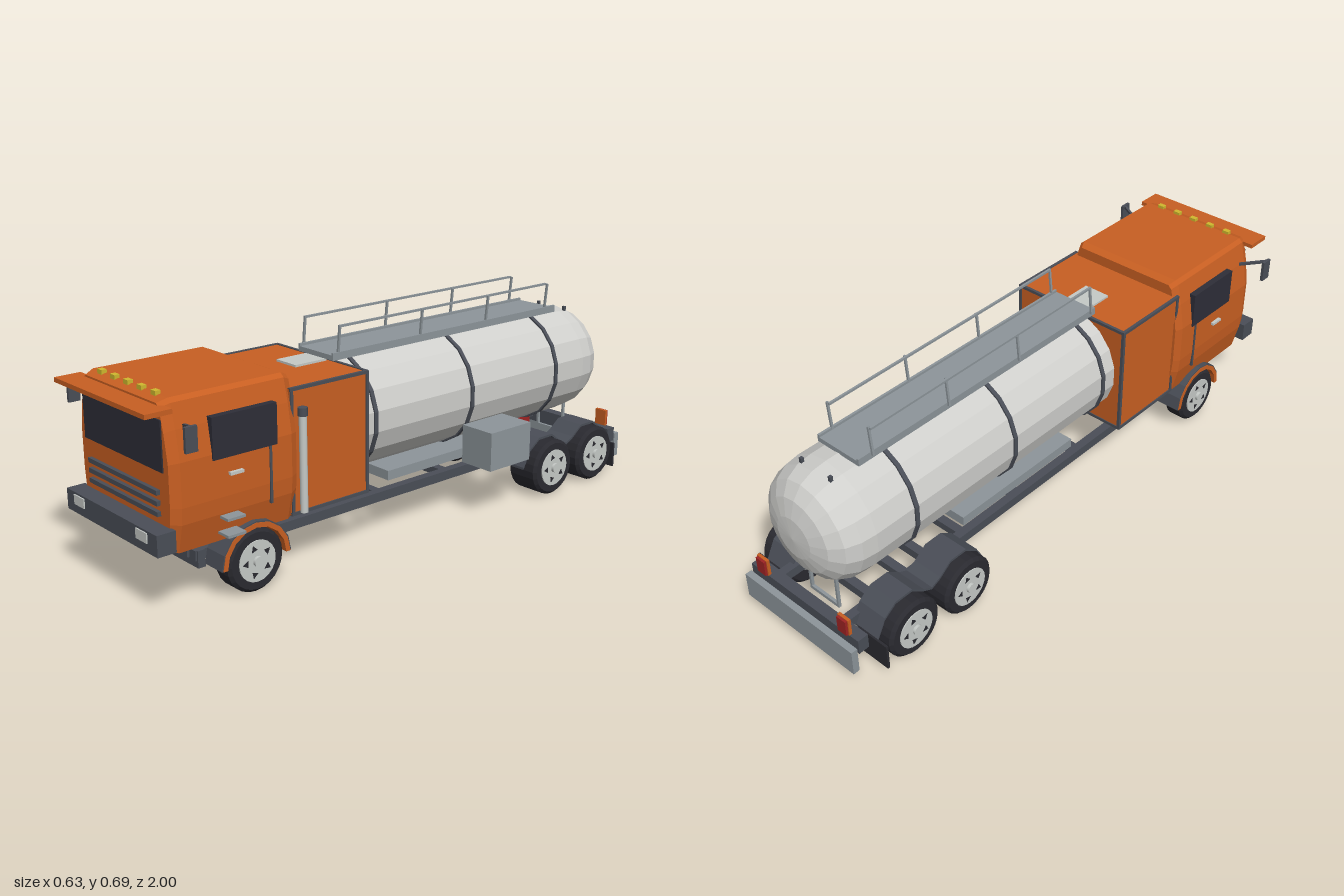
import * as THREE from 'three';

const mat = (name, color, opts = {}) => {
  const m = new THREE.MeshStandardMaterial({ color, ...opts });
  m.name = name;
  return m;
};

export function createModel() {
  const orange = mat('orange paint', 0xc85f22);
  const steel = mat('dark steel', 0x4a4e57);
  const rubber = mat('tyre rubber', 0x2a2a30);
  const glass = mat('tinted glass', 0x2e2e38);
  const chrome = mat('light metal', 0xc6cac7);
  const silver = mat('tank silver', 0xcfcfcc);
  const grey = mat('grey panel', 0x8d959a);
  const red = mat('red', 0x9e2323);
  const yellow = mat('yellow lamp', 0xd0b82e);

  const truck = new THREE.Group();
  truck.name = 'tankerTruck';
  truck.position.x = -0.005;

  const add = (name, geo, material, parent = truck) => {
    const m = new THREE.Mesh(geo, material);
    m.name = name;
    parent.add(m);
    return m;
  };
  // box given by its extents along each axis
  const box = (name, material, x0, x1, y0, y1, z0, z1, parent) => {
    const m = add(name, new THREE.BoxGeometry(x1 - x0, y1 - y0, z1 - z0), material, parent);
    m.position.set((x0 + x1) / 2, (y0 + y1) / 2, (z0 + z1) / 2);
    return m;
  };
  // the same box on both sides
  const pair = (name, material, x0, x1, ...rest) => {
    box(name, material, x0, x1, ...rest);
    box(name, material, -x1, -x0, ...rest);
  };
  // square bar between two points
  const bar = (name, material, a, b, t) => {
    const p = new THREE.Vector3(...a), q = new THREE.Vector3(...b);
    const m = add(name, new THREE.BoxGeometry(t, t, p.distanceTo(q)), material);
    m.position.copy(p).add(q).multiplyScalar(0.5);
    m.lookAt(q);
    return m;
  };
  const faceted = (geo) => {
    const g = geo.index ? geo.toNonIndexed() : geo;
    g.computeVertexNormals();
    return g;
  };
  // convex loops, anticlockwise seen from the front, joined from back to front
  const loft = (rows) => {
    const n = rows[0].length, pos = rows.flat(2), idx = [];
    for (let i = 0; i < rows.length - 1; i++) {
      for (let j = 0; j < n; j++) {
        const a = i * n + j, b = i * n + (j + 1) % n;
        idx.push(a, b, b + n, a, b + n, a + n);
      }
    }
    const last = (rows.length - 1) * n;
    for (let j = 1; j < n - 1; j++) idx.push(0, j + 1, j, last, last + j, last + j + 1);
    const g = new THREE.BufferGeometry();
    g.setAttribute('position', new THREE.Float32BufferAttribute(pos, 3));
    g.setIndex(idx);
    return faceted(g);
  };

  // cab shell, bevelled toward both ends
  const half = [[0.215, 0.183], [0.236, 0.27], [0.24, 0.32], [0.24, 0.45], [0.225, 0.54], [0.208, 0.61], [0.195, 0.622]];
  const loop = [...half, ...half.map(([x, y]) => [-x, y]).reverse()];
  const section = (z, s) => loop.map(([x, y]) => [x * s, 0.4 + (y - 0.4) * s, z]);
  add('cab', loft([section(0.5, 0.95), section(0.525, 1), section(0.9, 1), section(0.93, 0.95)]), orange);
  box('sunVisor', orange, -0.24, 0.24, 0.591, 0.605, 0.915, 1);
  for (let i = -2; i <= 2; i++) box('roofLamp', yellow, i * 0.07 - 0.012, i * 0.07 + 0.012, 0.615, 0.632, 0.893, 0.91);
  box('windshield', glass, -0.205, 0.205, 0.42, 0.568, 0.926, 0.934);
  for (const y of [0.297, 0.328, 0.359]) box('grilleSlat', steel, -0.182, 0.182, y - 0.007, y + 0.007, 0.925, 0.942);
  box('frontBumper', steel, -0.243, 0.243, 0.202, 0.266, 0.925, 0.985);
  pair('headlight', chrome, 0.14, 0.196, 0.23, 0.26, 0.982, 0.989);

  // cab sides
  pair('sideWindow', glass, 0.215, 0.244, 0.433, 0.556, 0.578, 0.797);
  pair('doorSeam', steel, 0.226, 0.243, 0.26, 0.433, 0.597, 0.605);
  pair('doorHandle', chrome, 0.238, 0.251, 0.38, 0.389, 0.7, 0.745);
  for (const s of [-1, 1]) {
    bar('mirrorArm', steel, [s * 0.225, 0.545, 0.87], [s * 0.308, 0.568, 0.905], 0.009);
    box('mirror', steel, s * 0.308 - 0.005, s * 0.308 + 0.005, 0.5, 0.572, 0.888, 0.926);
  }
  for (const y of [0.212, 0.262]) box('cabStep', grey, 0.21, 0.272, y - 0.004, y + 0.004, 0.715, 0.775);

  // equipment compartment behind the cab, with edge trim
  box('compartment', orange, -0.219, 0.219, 0.19, 0.575, 0.22, 0.515);
  for (const x of [-0.218, 0.218]) {
    for (const y of [0.194, 0.573]) box('compartmentTrim', steel, x - 0.005, x + 0.005, y - 0.005, y + 0.005, 0.218, 0.515);
    for (const z of [0.222, 0.508]) box('compartmentTrim', steel, x - 0.005, x + 0.005, 0.19, 0.577, z - 0.005, z + 0.005);
  }
  for (const y of [0.194, 0.573]) box('compartmentTrim', steel, -0.218, 0.218, y - 0.005, y + 0.005, 0.217, 0.227);
  box('roofPlate', chrome, -0.048, 0.046, 0.57, 0.582, 0.235, 0.355);

  // exhaust stack
  const pipe = (name, material, r, y0, y1) =>
    add(name, new THREE.CylinderGeometry(r, r, y1 - y0, 12), material).position.set(0.238, (y0 + y1) / 2, 0.482);
  pipe('exhaustPipe', chrome, 0.012, 0.2, 0.5);
  pipe('exhaustCap', steel, 0.015, 0.495, 0.52);

  // tank with domed rear end
  const profile = [[0, -0.978], [0.07, -0.972], [0.125, -0.955], [0.165, -0.925], [0.186, -0.88], [0.192, -0.83], [0.192, 0.225], [0, 0.225]];
  const tankGeo = new THREE.LatheGeometry(profile.map(([r, z]) => new THREE.Vector2(r, z)), 18).rotateX(Math.PI / 2);
  add('tank', faceted(tankGeo), silver).position.y = 0.393;
  for (const z of [0.16, -0.263, -0.68]) {
    const band = new THREE.CylinderGeometry(0.198, 0.198, 0.014, 18).rotateX(Math.PI / 2);
    add('tankBand', faceted(band), steel).position.set(0, 0.393, z);
  }
  pair('tankLug', steel, 0.055, 0.065, 0.565, 0.586, -0.872, -0.862);

  // walkway and handrails
  box('walkway', grey, -0.085, 0.085, 0.582, 0.598, -0.785, 0.24);
  pair('walkwayLip', grey, 0.077, 0.085, 0.59, 0.606, -0.785, 0.24);
  for (const x of [-0.084, 0.084]) {
    bar('handrail', grey, [x, 0.688, -0.738], [x, 0.688, 0.22], 0.007);
    for (const z of [0.216, -0.13, -0.435, -0.735]) bar('railPost', grey, [x, 0.595, z], [x, 0.69, z], 0.007);
  }

  // chassis
  pair('frameRail', steel, 0.125, 0.155, 0.112, 0.143, -0.94, 0.81);
  for (const z of [0.4, 0.1, -0.2, -0.45, -0.69]) box('crossMember', steel, -0.13, 0.13, 0.115, 0.14, z - 0.015, z + 0.015);
  box('frontCrossMember', steel, -0.16, 0.16, 0.09, 0.143, 0.78, 0.805);
  box('towBracket', steel, -0.12, 0.12, 0.113, 0.14, 0.8, 0.815);
  box('underTray', grey, -0.143, 0.143, 0.168, 0.2, -0.45, 0.065);
  box('toolBox', grey, 0.19, 0.319, 0.175, 0.305, -0.41, -0.223);
  box('valveBox', red, -0.045, 0.045, 0.152, 0.215, -0.72, -0.63);
  pair('tankSupport', grey, 0.055, 0.063, 0.1, 0.24, -0.895, -0.885);
  box('tankSupportBar', grey, -0.063, 0.063, 0.1, 0.112, -0.895, -0.885);

  // rear end
  box('rearCrossMember', steel, -0.235, 0.235, 0.095, 0.145, -0.972, -0.935);
  box('underrunBoard', grey, -0.235, 0.235, 0.033, 0.12, -1, -0.978);
  pair('tailLampHousing', orange, 0.155, 0.2, 0.142, 0.202, -0.972, -0.962);
  pair('tailLampLens', red, 0.159, 0.196, 0.146, 0.2, -0.98, -0.971);
  pair('mudFlap', rubber, 0.165, 0.285, 0.022, 0.11, -0.915, -0.907);

  // wheels: tyre, pale disc, five openings and a hub
  const R = 0.0975;
  const wheel = (side, inner, outer, z) => {
    const g = new THREE.Group();
    g.name = 'wheel';
    g.position.set(0, R, z);
    g.rotation.y = side > 0 ? 0 : Math.PI;
    truck.add(g);
    const e = 0.01;
    const tyre = [[0.05, inner], [R - e, inner], [R, inner + e], [R, outer - e], [R - e, outer], [0.064, outer], [0.06, outer - 0.012]];
    const geo = new THREE.LatheGeometry(tyre.map(([r, x]) => new THREE.Vector2(r, x)), 24).rotateZ(-Math.PI / 2);
    add('tyre', faceted(geo), rubber, g);
    const disc = (name, r, x0, x1, material) =>
      add(name, new THREE.CylinderGeometry(r, r, x1 - x0, 20).rotateZ(-Math.PI / 2), material, g).position.x = (x0 + x1) / 2;
    disc('wheelDisc', 0.064, inner + 0.005, outer + 0.003, chrome);
    disc('hub', 0.016, outer, outer + 0.012, chrome);
    for (let i = 0; i < 5; i++) {
      const a = i * Math.PI * 0.4;
      const hole = add('wheelOpening', new THREE.CircleGeometry(0.013, 3).rotateZ(Math.PI).rotateY(Math.PI / 2).rotateX(a), rubber, g);
      hole.position.set(outer + 0.0045, Math.sin(-a) * 0.041, Math.cos(a) * 0.041);
    }
  };
  const axles = [[0.658, 0.165, 0.24], [-0.577, 0.165, 0.287], [-0.8, 0.165, 0.287]];
  for (const [z, inner, outer] of axles) {
    bar('axle', steel, [-inner - 0.01, R, z], [inner + 0.01, R, z], 0.03);
    for (const s of [-1, 1]) wheel(s, inner, outer, z);
  }

  // fenders extruded across the truck from a side outline in (z, y)
  const fender = (name, material, outline, inner, width) => {
    const shape = new THREE.Shape(outline.map(([z, y]) => new THREE.Vector2(-z, y)));
    for (const x of [inner, -inner - width]) {
      const geo = new THREE.ExtrudeGeometry(shape, { depth: width, bevelEnabled: false }).rotateY(Math.PI / 2);
      add(name, geo, material).position.x = x;
    }
  };
  const arch = (r0, r1) => {
    const at = (r, i) => [0.658 + r * Math.cos(i * Math.PI / 8), R + r * Math.sin(i * Math.PI / 8)];
    const steps = [0, 1, 2, 3, 4, 5, 6, 7, 8];
    return [...steps.map((i) => at(r1, i)), ...steps.reverse().map((i) => at(r0, i))];
  };
  fender('frontFender', orange, arch(0.103, 0.118), 0.155, 0.088);
  fender('frontFenderTrim', steel, arch(0.117, 0.122), 0.157, 0.084);
  const top = [[-0.468, 0.11], [-0.5, 0.17], [-0.545, 0.202], [-0.61, 0.202], [-0.655, 0.168], [-0.69, 0.152],
    [-0.722, 0.168], [-0.767, 0.202], [-0.832, 0.202], [-0.877, 0.17], [-0.909, 0.11]];
  fender('rearFender', steel, [...top, ...top.map(([z, y]) => [z, y - 0.008]).reverse()], 0.14, 0.105);

  return truck;
}
